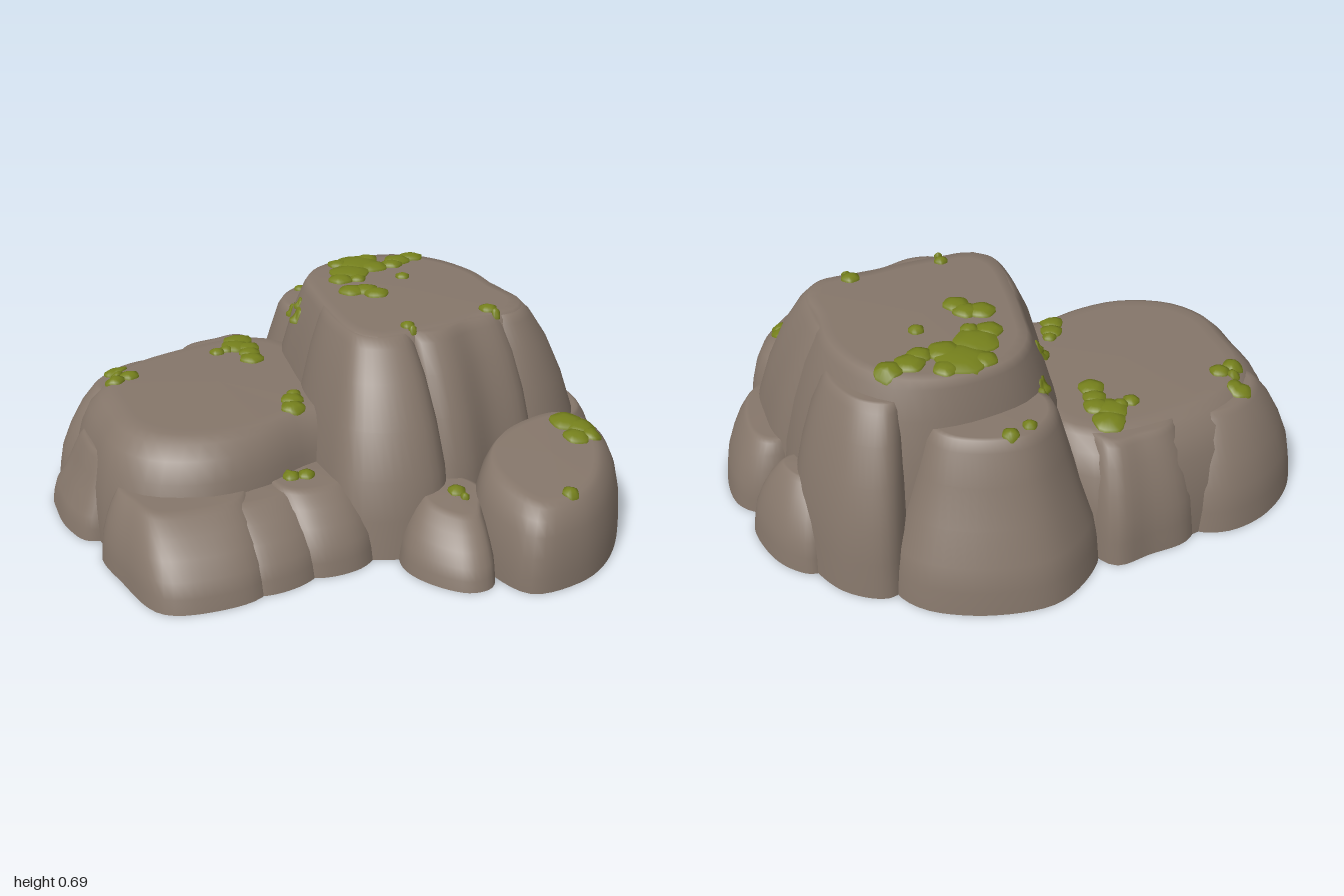
import * as THREE from 'three';

const SIDES = 56;

// wall profiles: [inset 0..1 from base to top outline, height 0..1]
const ROUND = [[0, 0], [0.02, 0.2], [0.1, 0.45], [0.28, 0.7], [0.5, 0.86], [0.78, 0.96], [1, 1]];
const SLOPE = [[0, 0], [0.06, 0.2], [0.15, 0.4], [0.36, 0.62], [0.62, 0.82], [0.88, 0.96], [1, 1]];
const LEAN = [[0, 0], [0.06, 0.15], [0.16, 0.3], [0.43, 0.5], [0.68, 0.75], [0.88, 0.94], [1, 1]];

// boulder lofted from a base outline [x, z] to a top area [x0, x1, z0, z1];
// tilt raises the top towards -z
function boulder(name, material, height, base, top, profile = ROUND, tilt = 0) {
  const curve = new THREE.CatmullRomCurve3(
    base.map(([x, z]) => new THREE.Vector3(x, 0, z)), true, 'centripetal');
  const ring = curve.getSpacedPoints(SIDES).slice(0, SIDES);
  let area = 0;
  ring.forEach((p, i) => {
    const q = ring[(i + 1) % SIDES];
    area += p.x * q.z - q.x * p.z;
  });
  if (area > 0) ring.reverse();
  const box = new THREE.Box3().setFromPoints(ring);
  const [x0, x1, z0, z1] = top;
  const cx = (x0 + x1) / 2, cz = (z0 + z1) / 2;
  const upper = ring.map((p) => new THREE.Vector3(
    THREE.MathUtils.mapLinear(p.x, box.min.x, box.max.x, x0, x1), 0,
    THREE.MathUtils.mapLinear(p.z, box.min.z, box.max.z, z0, z1)));

  const pos = [], index = [];
  const addRow = (place) => ring.forEach((p, i) => pos.push(...place(p, upper[i])));
  const mid = box.getCenter(new THREE.Vector3());
  // closed underside
  addRow(() => [mid.x, 0, mid.z]);
  addRow((p) => [p.x, 0, p.z]);
  // walls
  for (const [s, t] of profile) {
    addRow((p, u) => {
      const z = p.z + (u.z - p.z) * s;
      return [p.x + (u.x - p.x) * s, t * (height - tilt * (z - cz)), z];
    });
  }
  // nearly flat top
  for (const k of [0.9, 0.5, 0]) {
    addRow((p, u) => {
      const z = cz + (u.z - cz) * k;
      return [cx + (u.x - cx) * k, height + 0.006 * (1 - k) - tilt * (z - cz), z];
    });
  }
  const rows = pos.length / 3 / SIDES;
  for (let r = 0; r < rows - 1; r++) {
    if (r === 1) continue; // sharp bottom edge
    for (let i = 0; i < SIDES; i++) {
      const a = r * SIDES + i, b = r * SIDES + (i + 1) % SIDES;
      index.push(a, b, a + SIDES, b, b + SIDES, a + SIDES);
    }
  }
  const geo = new THREE.BufferGeometry();
  geo.setAttribute('position', new THREE.Float32BufferAttribute(pos, 3));
  geo.setIndex(index);
  geo.computeVertexNormals();
  const mesh = new THREE.Mesh(geo, material);
  mesh.name = name;
  return mesh;
}

// thin round moss cushion draped over the rocks below it
function mossTuft(x, z, r, surfaceY, material) {
  const n = 20, pos = [], index = [];
  const y0 = surfaceY(x, z);
  const drape = (px, pz, lift) => {
    const y = THREE.MathUtils.clamp(surfaceY(px, pz), y0 - r * 0.6, y0 + r * 0.6);
    pos.push(px, y + lift, pz);
  };
  for (const [k, lift] of [[1, -0.004], [0.96, 0.009], [0.5, 0.015]]) {
    for (let i = 0; i < n; i++) {
      const a = i / n * Math.PI * 2;
      const rr = r * k * (1 + 0.05 * Math.sin(a * 5 + x * 40));
      drape(x + Math.cos(a) * rr, z - Math.sin(a) * rr, lift);
    }
  }
  drape(x, z, 0.018);
  for (let i = 0; i < n; i++) {
    const j = (i + 1) % n;
    for (const o of [0, n]) index.push(o + i, o + j, o + n + i, o + j, o + n + j, o + n + i);
    index.push(2 * n + i, 2 * n + j, 3 * n);
  }
  const geo = new THREE.BufferGeometry();
  geo.setAttribute('position', new THREE.Float32BufferAttribute(pos, 3));
  geo.setIndex(index);
  geo.computeVertexNormals();
  const mesh = new THREE.Mesh(geo, material);
  mesh.name = 'mossTuft';
  return mesh;
}

export function createModel() {
  const model = new THREE.Group();
  model.name = 'mossyRocks';
  const stone = new THREE.MeshStandardMaterial({ color: 0x85766a });
  stone.name = 'stone';
  const green = new THREE.MeshStandardMaterial({ color: 0x75801c });
  green.name = 'moss';

  const rocks = new THREE.Group();
  rocks.name = 'rocks';
  model.add(rocks);
  const rock = (name, ...args) => rocks.add(boulder(name, stone, ...args));

  // tall mass and its buttresses
  rock('tallRock', 0.665, [[-.18, .3], [-.18, 0], [-.15, -.25], [-.11, -.45], [.02, -.6], [.3, -.68],
    [.55, -.64], [.72, -.5], [.82, -.25], [.82, 0], [.84, .2], [.74, .32], [.5, .34], [.3, .38], [.1, .4],
    [-.1, .4]], [-.02, .66, -.57, .24], SLOPE);
  rock('tallFrontRightButtress', 0.66, [[-.2, .35], [-.17, .47], [-.08, .54], [.05, .57], [.15, .55],
    [.21, .47], [.22, .1], [.1, -.2], [-.15, -.1]], [-.03, .18, -.2, .25], SLOPE);
  rock('tallFrontButtress', 0.66, [[.14, .3], [.18, .48], [.28, .5], [.42, .43], [.58, .39], [.64, .25],
    [.6, 0], [.25, 0]], [.15, .56, -.1, .26], SLOPE);
  rock('tallFrontLeftButtress', 0.655, [[.5, .3], [.62, .36], [.76, .33], [.87, .22], [.88, .05],
    [.84, -.15], [.7, -.24], [.5, -.2]], [.48, .67, -.22, .2], SLOPE);
  rock('tallBackButtress', 0.52, [[-.13, -.55], [-.12, -.72], [-.05, -.82], [.06, -.9], [.16, -.92],
    [.35, -.89], [.5, -.81], [.56, -.7], [.5, -.45], [.1, -.35]], [0, .4, -.73, -.4], LEAN);
  rock('tallBackLeftButtress', 0.6, [[.48, -.55], [.52, -.7], [.58, -.74], [.7, -.68], [.78, -.55],
    [.82, -.35], [.75, -.2], [.5, -.3]], [.45, .67, -.56, -.23], SLOPE);

  // low mass on the right-hand side
  rock('lowRock', 0.395, [[-.9, .1], [-.91, -.1], [-.9, -.35], [-.75, -.58], [-.5, -.7], [-.15, -.74],
    [0, -.6], [0, .2], [-.2, .26], [-.4, .34], [-.6, .36], [-.8, .27]], [-.77, 0, -.58, .2]);
  rock('lowBackCorner', 0.37, [[-.95, -.36], [-.89, -.54], [-.72, -.69], [-.55, -.73], [-.44, -.67],
    [-.45, -.35], [-.8, -.2]], [-.79, -.48, -.56, -.28], SLOPE);
  rock('lowBackRock', 0.385, [[-.49, -.65], [-.42, -.74], [-.28, -.77], [-.15, -.79], [-.08, -.65],
    [-.08, -.3], [-.45, -.3]], [-.43, -.1, -.65, -.3], SLOPE);
  rock('lowSideRock', 0.28, [[-1, -.2], [-.98, -.33], [-.85, -.37], [-.75, -.15], [-.8, .05], [-.94, .05],
    [-.99, -.06]], [-.88, -.75, -.28, 0], LEAN);
  rock('lowFrontCorner', 0.235, [[-.92, .15], [-.9, .35], [-.83, .57], [-.67, .62], [-.5, .59],
    [-.42, .4], [-.5, .1], [-.8, .05]], [-.85, -.46, .08, .39], SLOPE);
  rock('lowFrontMiddle', 0.225, [[-.6, .48], [-.52, .59], [-.36, .58], [-.27, .5], [-.28, .2],
    [-.57, .2]], [-.58, -.3, .2, .39], SLOPE);
  rock('lowFrontInner', 0.235, [[-.4, .46], [-.32, .56], [-.15, .56], [-.05, .45], [-.1, .15],
    [-.38, .15]], [-.37, -.1, .15, .4], SLOPE);

  // small rocks around the left-hand foot
  rock('sideFrontRock', 0.25, [[.84, .3], [.95, .22], [1, .05], [.98, -.13], [.9, -.2], [.78, -.18],
    [.7, .05], [.74, .28]], [.72, .91, -.14, .25], SLOPE);
  rock('sideBackRock', 0.27, [[.94, -.25], [.92, -.4], [.86, -.51], [.78, -.56], [.68, -.45], [.7, -.2],
    [.88, -.19]], [.68, .83, -.42, -.26], SLOPE);

  // loose rocks in front
  rock('frontRock', 0.295, [[.22, .6], [.22, .78], [.28, .91], [.46, .91], [.6, .84], [.75, .68],
    [.84, .52], [.86, .38], [.78, .3], [.5, .34], [.32, .45]], [.3, .75, .34, .83], ROUND, 0.1);
  rock('frontPebble', 0.2, [[-.03, .6], [0, .72], [.1, .83], [.18, .83], [.24, .74], [.32, .6], [.25, .45],
    [.05, .45]], [.08, .28, .45, .68], SLOPE, 0.1);

  // moss tufts: [x, z, radius]
  const patches = {
    summitMoss: [[.27, -.48, .085], [.2, -.39, .075], [.31, -.42, .055], [.14, -.33, .045],
      [.2, -.31, .03], [.2, -.5, .04], [.33, -.52, .04], [.43, -.46, .05], [.5, -.48, .045],
      [.39, -.42, .04], [.365, -.27, .026], [.13, -.2, .048], [.2, -.14, .045], [.18, -.19, .045],
      [.17, .19, .024], [.17, .23, .014], [.5, .15, .032], [.51, .19, .015]],
    backMoss: [[.11, -.68, .023], [.18, -.71, .027], [0, -.47, .025], [.01, -.5, .017],
      [-.04, -.32, .028], [-.02, -.35, .018]],
    lowMoss: [[-.2, -.55, .055], [-.23, -.49, .055], [-.19, -.46, .045], [-.2, -.41, .04],
      [-.21, -.35, .045], [-.31, -.46, .028], [-.27, -.47, .025], [-.7, -.47, .042], [-.73, -.35, .036],
      [-.67, -.37, .034], [-.71, -.4, .022], [-.22, .11, .042], [-.2, .05, .04], [-.18, .01, .025],
      [-.3, .3, .028], [-.25, .31, .028]],
    frontMoss: [[.68, .42, .058], [.71, .47, .052], [.66, .52, .045], [.72, .52, .036], [.19, .55, .03],
      [.2, .59, .015], [.46, .81, .027]]
  };
  rocks.updateMatrixWorld(true);
  const ray = new THREE.Raycaster();
  const origin = new THREE.Vector3(), down = new THREE.Vector3(0, -1, 0);
  const surfaceY = (x, z) => {
    ray.set(origin.set(x, 2, z), down);
    const hit = ray.intersectObject(rocks, true)[0];
    return hit ? hit.point.y : 0;
  };
  for (const [name, tufts] of Object.entries(patches)) {
    const patch = new THREE.Group();
    patch.name = name;
    for (const [x, z, r] of tufts) patch.add(mossTuft(x, z, r, surfaceY, green));
    model.add(patch);
  }
  return model;
}
